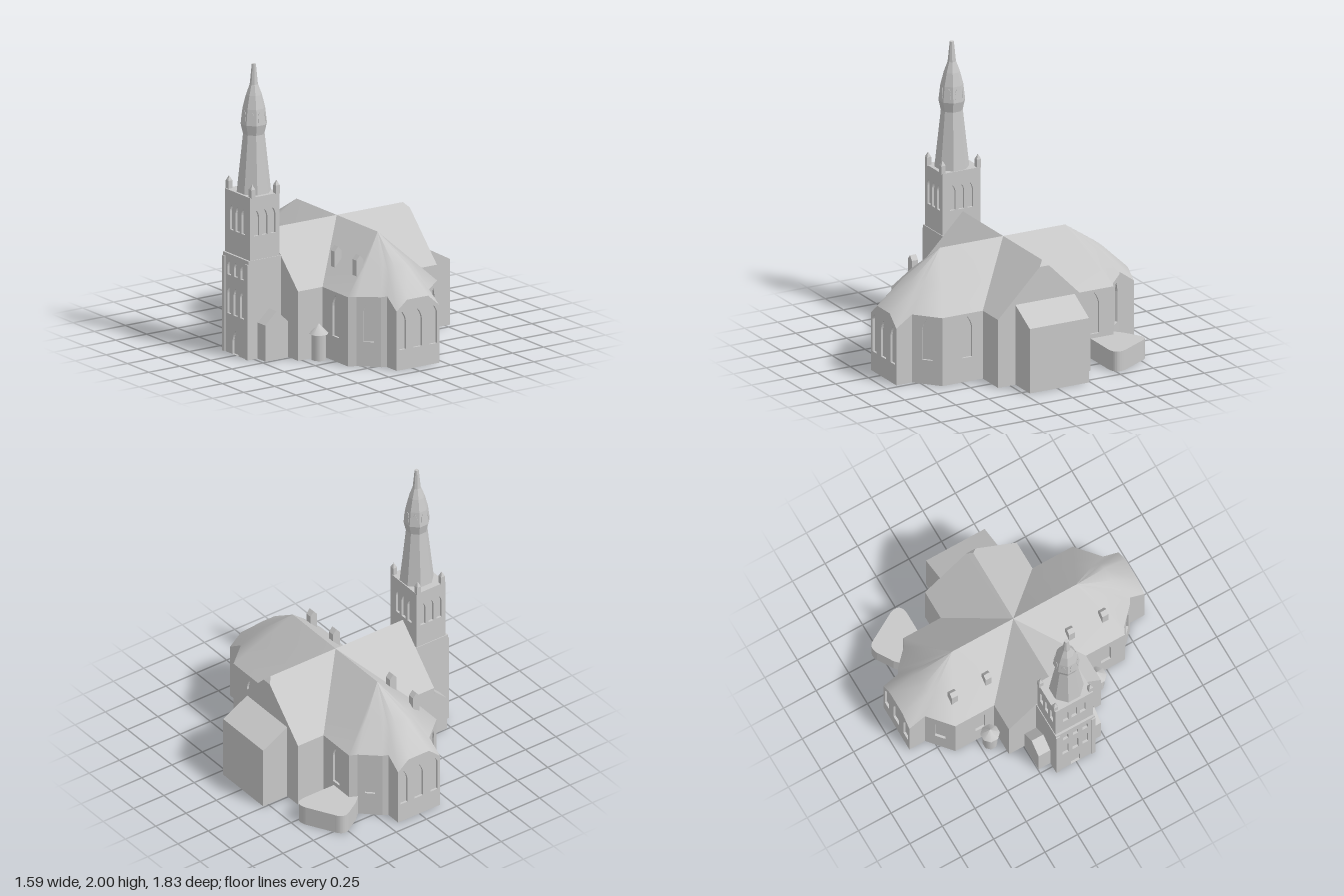
import * as THREE from 'three';
import { ConvexGeometry } from 'three/addons/geometries/ConvexGeometry.js';

const stone = new THREE.MeshStandardMaterial({ color: 0xc8c8c8 });
stone.name = 'pale stone';

function add(parent, name, geometry, x = 0, y = 0, z = 0) {
  const mesh = new THREE.Mesh(geometry, stone);
  mesh.name = name;
  mesh.position.set(x, y, z);
  parent.add(mesh);
  return mesh;
}

const hull = (pts) => new ConvexGeometry(pts.map((p) => new THREE.Vector3(...p)));

// Pointed-arch outline standing on y0, centred on x
function lancet(x, w, y0, y1, Type = THREE.Shape) {
  const h = w / 2, spring = y1 - w * 1.1, s = new Type();
  s.moveTo(x - h, y0);
  s.lineTo(x + h, y0);
  s.lineTo(x + h, spring);
  s.quadraticCurveTo(x + h * 0.85, spring + (y1 - spring) * 0.55, x, y1);
  s.quadraticCurveTo(x - h * 0.85, spring + (y1 - spring) * 0.55, x - h, spring);
  s.closePath();
  return s;
}

// Wall between [x, topY, z] points with recessed windows [distance from b, width, y0, y1]
function wall(parent, name, a, b, windows = [], base = 0) {
  const dx = a[0] - b[0], dz = a[2] - b[2], len = Math.hypot(dx, dz), depth = 0.02;
  const group = new THREE.Group();
  group.name = name;
  group.position.set(b[0], 0, b[2]);
  group.rotation.y = Math.atan2(-dz, dx);
  parent.add(group);
  const s = new THREE.Shape();
  s.moveTo(0, base);
  s.lineTo(len, base);
  s.lineTo(len, a[1]);
  s.lineTo(0, b[1]);
  s.closePath();
  for (const w of windows) {
    s.holes.push(lancet(...w, THREE.Path));
    add(group, 'windowPane', new THREE.ShapeGeometry(lancet(...w), 4), 0, 0, -0.016);
  }
  add(group, 'wallPanel', new THREE.ExtrudeGeometry(s, { depth, bevelEnabled: false, curveSegments: 4 }), 0, 0, -depth);
}

// Block with a ridge running along z
function gabled(w, d, y0, eave, ridge) {
  const pts = [];
  for (const z of [-d / 2, d / 2]) {
    for (const x of [-w / 2, w / 2]) pts.push([x, y0, z], [x, eave, z]);
    pts.push([0, ridge, z]);
  }
  return hull(pts);
}

// Half of the transept with its polygonal apse, facing +z
function apse() {
  const group = new THREE.Group();
  const outline = [
    [0.357, 0.48, 0], [0.357, 0.48, 0.655], [0.195, 0.48, 0.795], [0.195, 0.4, 0.915],
    [0.105, 0.48, 0.915], [-0.065, 0.48, 0.915], [-0.15, 0.41, 0.915], [-0.15, 0.49, 0.805],
    [-0.185, 0.485, 0.785], [-0.305, 0.48, 0.67], [-0.357, 0.48, 0.645], [-0.357, 0.48, 0],
  ];
  const last = outline.length - 1;
  const high = [0.17, 0.46], low = [0.14, 0.405];
  const windows = {
    0: [0.19, 0.075, ...high], 1: [0.107, 0.075, ...high], 3: [0.045, 0.066, ...low],
    4: [0.085, 0.07, ...low], 5: [0.043, 0.066, ...low], 8: [0.083, 0.07, ...high], 10: [0.5, 0.075, ...high],
  };
  for (let i = 0; i < last; i++) wall(group, 'apseWall', outline[i], outline[i + 1], windows[i] ? [windows[i]] : []);

  // Roof: ridge, bulging middle and eave for each outline point
  const pos = [], index = [];
  outline.forEach((p, i) => {
    const side = i === 0 || i === last;
    const top = [0, 0.835, side ? 0 : 0.475];
    const lift = i < 2 || i > last - 2 ? 0 : 0.03;
    const mid = top.map((v, k) => v + (p[k] - v) * 0.58 + (k === 1 ? lift : 0));
    pos.push(...top, ...mid, ...p);
    if (i === last) return;
    for (let r = 0; r < 2; r++) {
      const a = i * 3 + r, b = a + 3;
      index.push(a, b + 1, a + 1, a, b, b + 1);
    }
  });
  const roof = new THREE.BufferGeometry();
  roof.setAttribute('position', new THREE.Float32BufferAttribute(pos, 3));
  roof.setIndex(index);
  roof.computeVertexNormals();
  add(group, 'apseRoof', roof);

  const floor = new THREE.Shape(outline.map((p) => new THREE.Vector2(p[0], p[2])));
  add(group, 'apseFloor', new THREE.ShapeGeometry(floor).rotateX(Math.PI / 2));
  return group;
}

// One tower stage: four walls around a solid core; windows(side) lists the openings
function stage(parent, name, x0, x1, z0, z1, y0, y1, windows) {
  const c = [[x1, y1, z0], [x1, y1, z1], [x0, y1, z1], [x0, y1, z0]];
  for (let i = 0; i < 4; i++) wall(parent, name + 'Wall', c[i], c[(i + 1) % 4], windows(i), y0);
  add(parent, name + 'Core', new THREE.BoxGeometry(x1 - x0 - 0.036, y1 - y0, z1 - z0 - 0.036),
    (x0 + x1) / 2, (y0 + y1) / 2, (z0 + z1) / 2);
}

function tower() {
  const group = new THREE.Group();
  group.name = 'tower';
  const three = (mid, step, w, a, b) => [-1, 0, 1].map((k) => [mid + k * step, w, a, b]);
  stage(group, 'lowerStage', -0.795, -0.53, -0.155, 0.145, 0, 0.685, (i) => (i === 2
    ? [[0.15, 0.07, 0.001, 0.17], ...three(0.15, 0.075, 0.045, 0.27, 0.46), ...three(0.15, 0.075, 0.04, 0.54, 0.64)]
    : []));
  stage(group, 'belfry', -0.78, -0.54, -0.15, 0.14, 0.685, 1.12,
    (i) => three(i % 2 ? 0.12 : 0.145, 0.066, 0.042, 0.85, 1.025));
  for (const z of [-0.14, 0.13]) {
    add(group, 'cornerButtress', new THREE.BoxGeometry(0.02, 0.66, 0.03), -0.793, 0.33, z);
    for (const x of [-0.755, -0.558]) {
      add(group, 'pinnacle', new THREE.BoxGeometry(0.032, 0.06, 0.032), x, 1.145, z);
      const cap = new THREE.ConeGeometry(0.0226, 0.035, 4, 1).rotateY(Math.PI / 4).toNonIndexed();
      cap.computeVertexNormals();
      add(group, 'pinnacleCap', cap, x, 1.192, z);
    }
  }
  // Gabled side porches
  for (const z of [-0.185, 0.175]) add(group, 'sidePorch', gabled(0.185, 0.12, 0, 0.25, 0.335), -0.628, 0, z);

  // Octagonal spire, faces on the axes
  const spire = new THREE.Group();
  spire.name = 'spire';
  spire.position.set(-0.655, 0, 0.005);
  group.add(spire);
  const k = 1 / Math.cos(Math.PI / 8);
  const profile = [[0, 1.11], [0.109, 1.11], [0.068, 1.52], [0.083, 1.59], [0.071, 1.70], [0.05, 1.79],
    [0.026, 1.86], [0.013, 2], [0, 2]].map(([r, y]) => new THREE.Vector2(r * k, y));
  const body = new THREE.LatheGeometry(profile, 8, Math.PI / 8).toNonIndexed();
  body.computeVertexNormals();
  add(spire, 'spireBody', body);
  for (let i = 0; i < 8; i++) {
    const arm = new THREE.Group();
    arm.name = 'spireWindow';
    arm.rotation.y = (i * Math.PI) / 4;
    spire.add(arm);
    const plate = new THREE.ExtrudeGeometry(lancet(0, 0.032, 0, 0.075), { depth: 0.006, bevelEnabled: false, curveSegments: 4 });
    add(arm, 'lancetPlate', plate, 0, 1.612, 0.078).rotation.x = -0.109;
  }
  return group;
}

export function createModel() {
  const model = new THREE.Group();
  model.name = 'church';

  // Nave with a tiny clipped gable at the +x end
  const zc = -0.01, nave = [[-0.53, 0.835, zc], [0.56, 0.835, zc], [0.592, 0.8, zc - 0.035], [0.592, 0.8, zc + 0.035]];
  for (const x of [-0.53, 0.592]) for (const z of [zc - 0.352, zc + 0.352]) nave.push([x, 0, z], [x, 0.48, z]);
  add(model, 'nave', hull(nave));

  // Lean-to annex
  const annex = [];
  for (const z of [-0.24, 0.21]) annex.push([0.57, 0, z], [0.79, 0, z], [0.79, 0.455, z], [0.57, 0.576, z]);
  add(model, 'annex', hull(annex));

  // The two transept arms are turned copies
  for (const turn of [0, Math.PI]) {
    const arm = apse();
    arm.name = turn ? 'rearTransept' : 'frontTransept';
    arm.position.set(0.025, 0, -0.005);
    arm.rotation.y = turn;
    model.add(arm);
  }

  // Roof dormers
  for (const z of [0.3, 0.555, -0.34, -0.6]) add(model, 'dormer', gabled(0.055, 0.046, 0.57, 0.7, 0.732), -0.193, 0, z);

  // Round stair turrets
  for (const z of [0.39, -0.43]) {
    add(model, 'turret', new THREE.CylinderGeometry(0.05, 0.05, 0.185, 8).rotateY(Math.PI / 8), -0.395, 0.0925, z);
    add(model, 'turretRoof', new THREE.ConeGeometry(0.066, 0.07, 8).rotateY(Math.PI / 8), -0.395, 0.215, z);
  }

  // Low rounded outbuilding behind
  const s = new THREE.Shape();
  s.moveTo(0.34, 0.478);
  s.lineTo(0.63, 0.478);
  s.quadraticCurveTo(0.725, 0.485, 0.685, 0.575);
  s.lineTo(0.58, 0.76);
  s.quadraticCurveTo(0.55, 0.825, 0.485, 0.79);
  s.lineTo(0.38, 0.725);
  s.lineTo(0.3, 0.65);
  s.closePath();
  const low = new THREE.ExtrudeGeometry(s, { depth: 0.14, bevelEnabled: false, curveSegments: 10 });
  add(model, 'outbuilding', low.rotateX(-Math.PI / 2));

  model.add(tower());
  return model;
}
